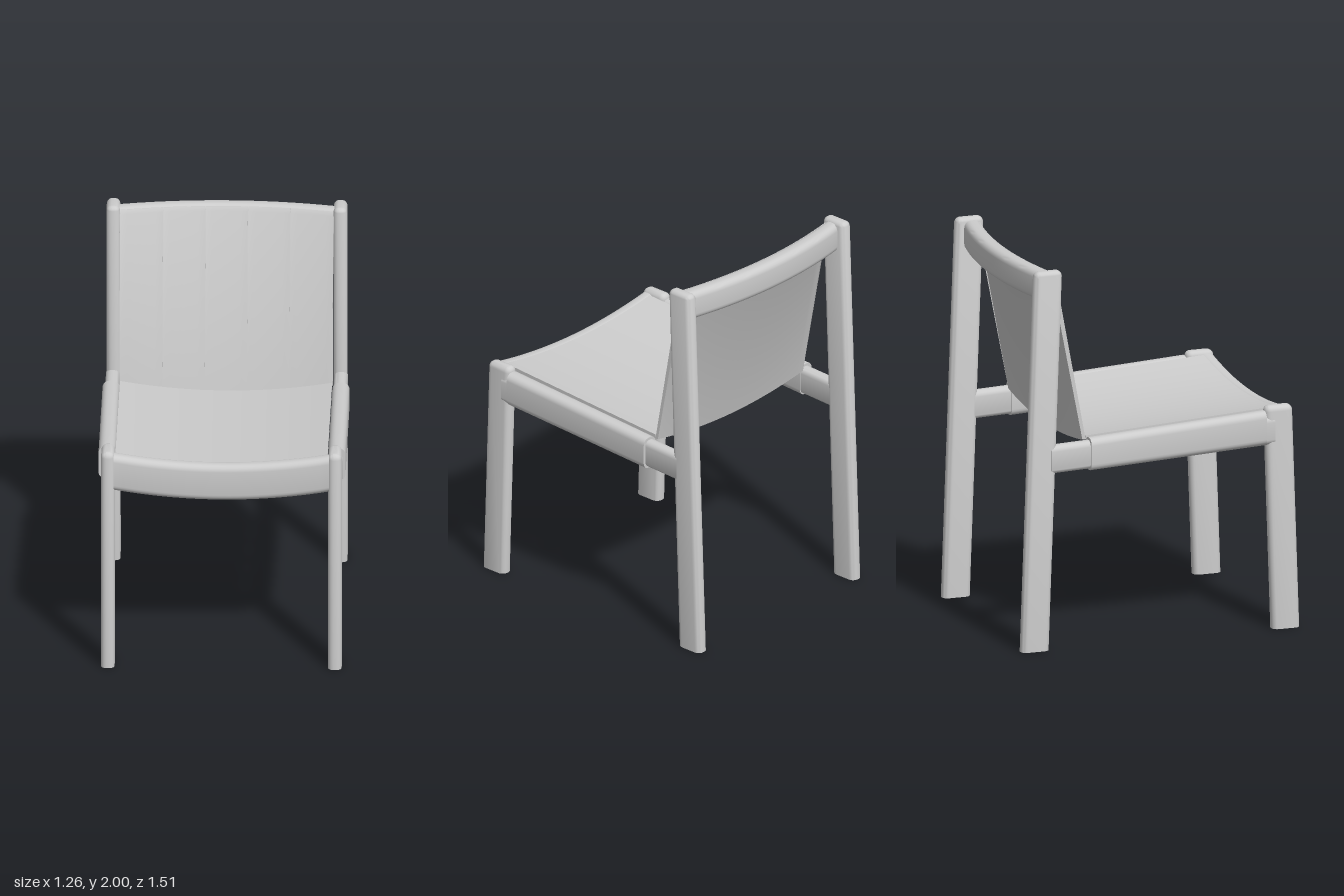
import * as THREE from 'three';
import { toCreasedNormals } from 'three/addons/utils/BufferGeometryUtils.js';

const grey = new THREE.MeshStandardMaterial({ color: 0xcccccc });
grey.name = 'light grey';

// Outline of a rounded rectangle, as [u, v] pairs round the origin
function roundedRing(w, h, r, steps = 5) {
  const pts = [];
  [[1, 1], [-1, 1], [-1, -1], [1, -1]].forEach(([a, b], q) => {
    for (let i = 0; i <= steps; i++) {
      const t = (q + i / steps) * Math.PI / 2;
      pts.push([a * (w / 2 - r) + r * Math.cos(t), b * (h / 2 - r) + r * Math.sin(t)]);
    }
  });
  return pts;
}

// Closed solid through a row of matching rings of [x, y, z] points
function loft(rings) {
  const n = rings[0].length, pos = rings.flat(2), tris = [];
  const last = rings.length - 1;
  for (let k = 0; k < last; k++) {
    for (let i = 0; i < n; i++) {
      const a = k * n + i, b = k * n + (i + 1) % n;
      tris.push([a, b, b + n], [a, b + n, a + n]);
    }
  }
  for (let i = 1; i < n - 1; i++) {
    tris.push([0, i + 1, i], [last * n, last * n + i, last * n + i + 1]);
  }
  // turn the faces outwards if the rings ran the other way
  const p = (i) => new THREE.Vector3().fromArray(pos, i * 3), origin = p(0);
  let volume = 0;
  for (const [a, b, c] of tris) {
    volume += p(a).sub(origin).dot(p(b).sub(origin).cross(p(c).sub(origin)));
  }
  if (volume < 0) tris.forEach((t) => t.reverse());
  const geo = new THREE.BufferGeometry();
  geo.setAttribute('position', new THREE.Float32BufferAttribute(pos, 3));
  geo.setIndex(tris.flat());
  return toCreasedNormals(geo, 0.7);
}

// Solid swept across the chair: section(x) returns a ring of [z, y] points
function across(x0, x1, steps, section) {
  const rings = [];
  for (let i = 0; i <= steps; i++) {
    const x = x0 + (x1 - x0) * i / steps;
    rings.push(section(x).map(([z, y]) => [x, y, z]));
  }
  return loft(rings);
}

// Leaning leg with a softly rounded top
function leg(x, height, zBottom, zTop) {
  const r = 0.03, levels = [[0, 0]];
  for (let i = 0; i <= 5; i++) {
    const a = i / 5 * 1.45;
    levels.push([height - r + r * Math.sin(a) / Math.sin(1.45), r * (1 - Math.cos(a))]);
  }
  return loft(levels.map(([y, inset]) => {
    const z = zBottom + (zTop - zBottom) * y / height;
    return roundedRing(0.07 - 2 * inset, 0.15 - 2 * inset, r - inset)
      .map(([u, v]) => [x + u, y, z + v]);
  }));
}

// Bar running front to back; each end is [z, yBottom, yTop]
function bar(x, width, r, ends) {
  return loft(ends.map(([z, lo, hi]) =>
    roundedRing(width, hi - lo, r).map(([u, v]) => [x + u, (lo + hi) / 2 + v, z])));
}

export function createModel() {
  const chair = new THREE.Group();
  chair.name = 'chair';
  const add = (name, geo) => {
    const mesh = new THREE.Mesh(geo, grey);
    mesh.name = name;
    chair.add(mesh);
  };

  const half = 0.55;
  const bow = (x) => 1 - (x / half) ** 2;
  const seatTop = (x, z) => 1.123 + 0.058 * z - 0.05 * bow(x);
  const railZ = (x) => -0.598 - 0.06 * bow(x);

  // legs, side rails and the sling's sleeves round them
  for (const s of [1, -1]) {
    const side = s > 0 ? 'left' : 'right';
    add(side + 'FrontLeg', leg(s * 0.58, 1.18, 0.685, 0.645));
    add(side + 'BackLeg', leg(s * 0.58, 2, -0.68, -0.607));
    add(side + 'SideRail', bar(s * 0.583, 0.07, 0.03, [[0.62, 0.975, 1.125], [-0.6, 0.93, 1.078]]));
    add(side + 'SeatSleeve', bar(s * 0.587, 0.088, 0.036, [[0.57, 0.975, 1.155], [-0.385, 0.93, 1.1]]));
  }

  // sagging front beam
  add('frontBeam', across(-half, half, 24, (x) =>
    roundedRing(0.085, 0.195, 0.034).map(([u, v]) => [0.68 + u, seatTop(x, 0.7) - 0.0975 + v])));

  // sling seat
  add('seat', across(-0.542, 0.542, 24, (x) => {
    const back = seatTop(x, -0.385), front = seatTop(x, 0.68);
    return [[-0.385, back], [0.68, front], [0.68, front - 0.02], [-0.385, back - 0.02]];
  }));

  // bowed top rail
  add('topRail', across(-half, half, 24, (x) =>
    roundedRing(0.09, 0.155, 0.035).map(([u, v]) => [railZ(x) + u, 1.9075 + v])));

  // backrest sheet, a little thicker in front where the panels lie
  const backSheet = (x, rear, front) => {
    const y = seatTop(x, -0.385) - 0.02, z = railZ(x) + 0.045;
    return [[-0.392 + rear, y], [-0.392 + front, y], [z + front, 1.955],
      [z - 0.012 + front, 1.975], [z - 0.012 + rear, 1.975], [z + rear, 1.955]];
  };
  add('backrest', across(-0.545, 0.545, 24, (x) => backSheet(x, -0.012, 0)));
  const seams = [-0.545, -0.325, -0.108, 0.108, 0.325, 0.545];
  for (let i = 0; i < 5; i++) {
    add('backrestPanel' + (i + 1),
      across(seams[i] + 0.0015, seams[i + 1] - 0.0015, 6, (x) => backSheet(x, -0.002, 0.006)));
  }
  return chair;
}
